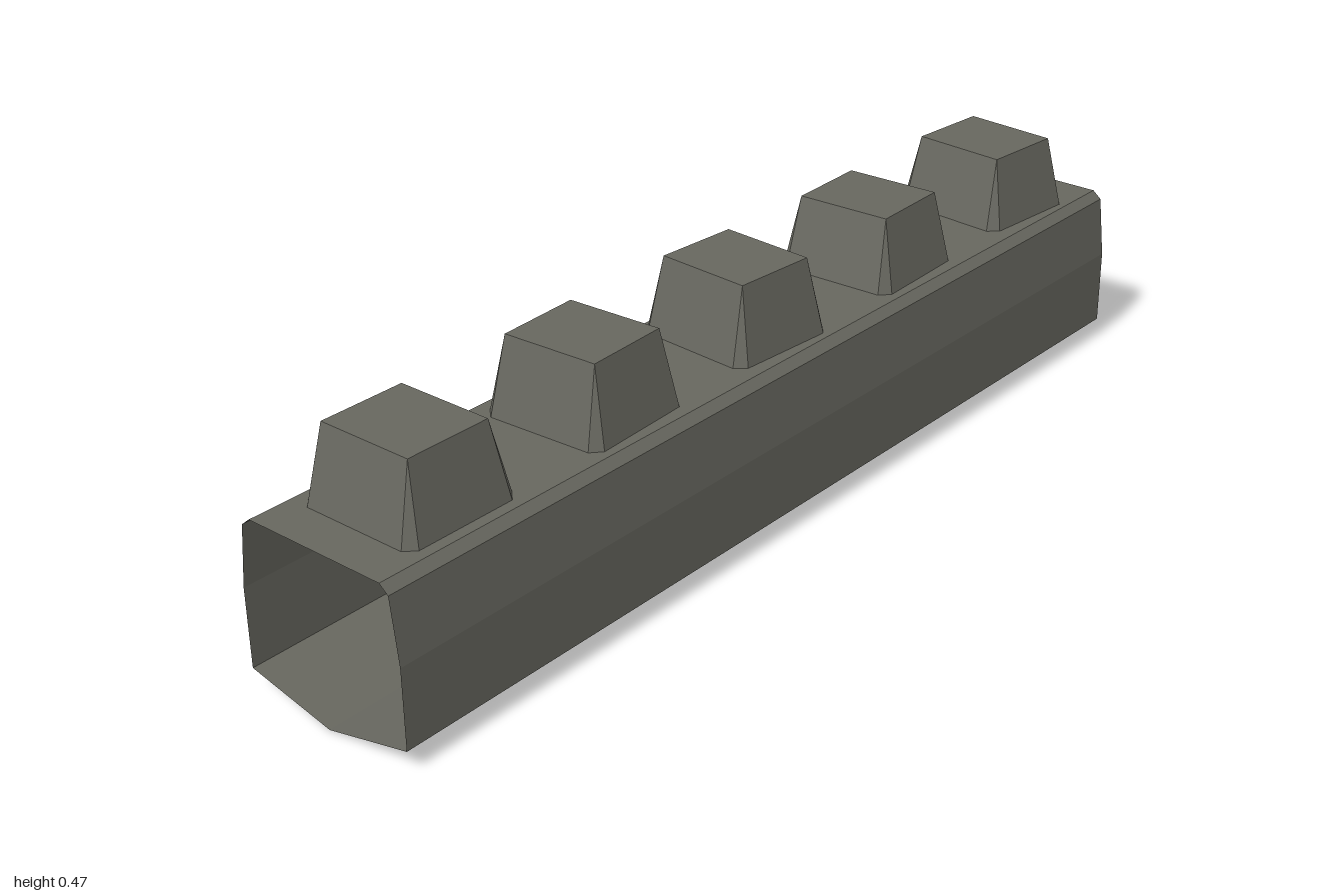
import * as THREE from 'three';

// Joins two rings of points with flat faces; optionally caps the second ring
function loft(a, b, cap = false) {
  const pts = [];
  const tri = (p, q, r) => {
    if (p.distanceTo(q) > 1e-6 && q.distanceTo(r) > 1e-6 && r.distanceTo(p) > 1e-6) pts.push(p, q, r);
  };
  a.forEach((p, i) => {
    const j = (i + 1) % a.length;
    tri(p, a[j], b[j]);
    tri(p, b[j], b[i]);
  });
  if (cap) for (let i = 1; i < b.length - 1; i++) tri(b[0], b[i], b[i + 1]);
  const geometry = new THREE.BufferGeometry().setFromPoints(pts);
  geometry.computeVertexNormals();
  return geometry;
}

export function createModel() {
  const group = new THREE.Group();
  const stone = new THREE.MeshStandardMaterial({ color: 0x67675f, flatShading: true, side: THREE.DoubleSide });
  stone.name = 'grey stone';

  // Wall shell: open at both ends, with a shallow keel and bevelled shoulders
  const half = [[0.178, 0.04], [0.178, 0.19], [0.164, 0.31], [0.146, 0.325]];
  const profile = [[0, 0], ...half, ...half.slice().reverse().map(([x, y]) => [-x, y])];
  const section = z => profile.map(([x, y]) => new THREE.Vector3(x, y, z));
  const wall = new THREE.Mesh(loft(section(-1), section(1)), stone);
  wall.name = 'wall';
  group.add(wall);

  // Battlement blocks: corner-cut base tapering to a four-cornered top
  const ring = (x, z, cut, y) => [
    [x - cut, z], [x, z - cut], [x, cut - z], [x - cut, -z],
    [cut - x, -z], [-x, cut - z], [-x, z - cut], [cut - x, z],
  ].map(([px, pz]) => new THREE.Vector3(px, y, pz));

  // Position along the wall, slight turn, top height
  const blocks = [
    [0.8, 0, 0.465], [0.4, 0.05, 0.469], [0, -0.07, 0.469], [-0.4, 0.04, 0.465], [-0.8, -0.08, 0.465],
  ];
  blocks.forEach(([z, turn, top], i) => {
    const geometry = loft(ring(0.126, 0.12, 0.02, 0.317), ring(0.096, 0.084, 0, top), true);
    const block = new THREE.Mesh(geometry, stone);
    block.name = `battlementBlock${i + 1}`;
    block.position.z = z;
    block.rotation.y = turn;
    group.add(block);
  });

  return group;
}
